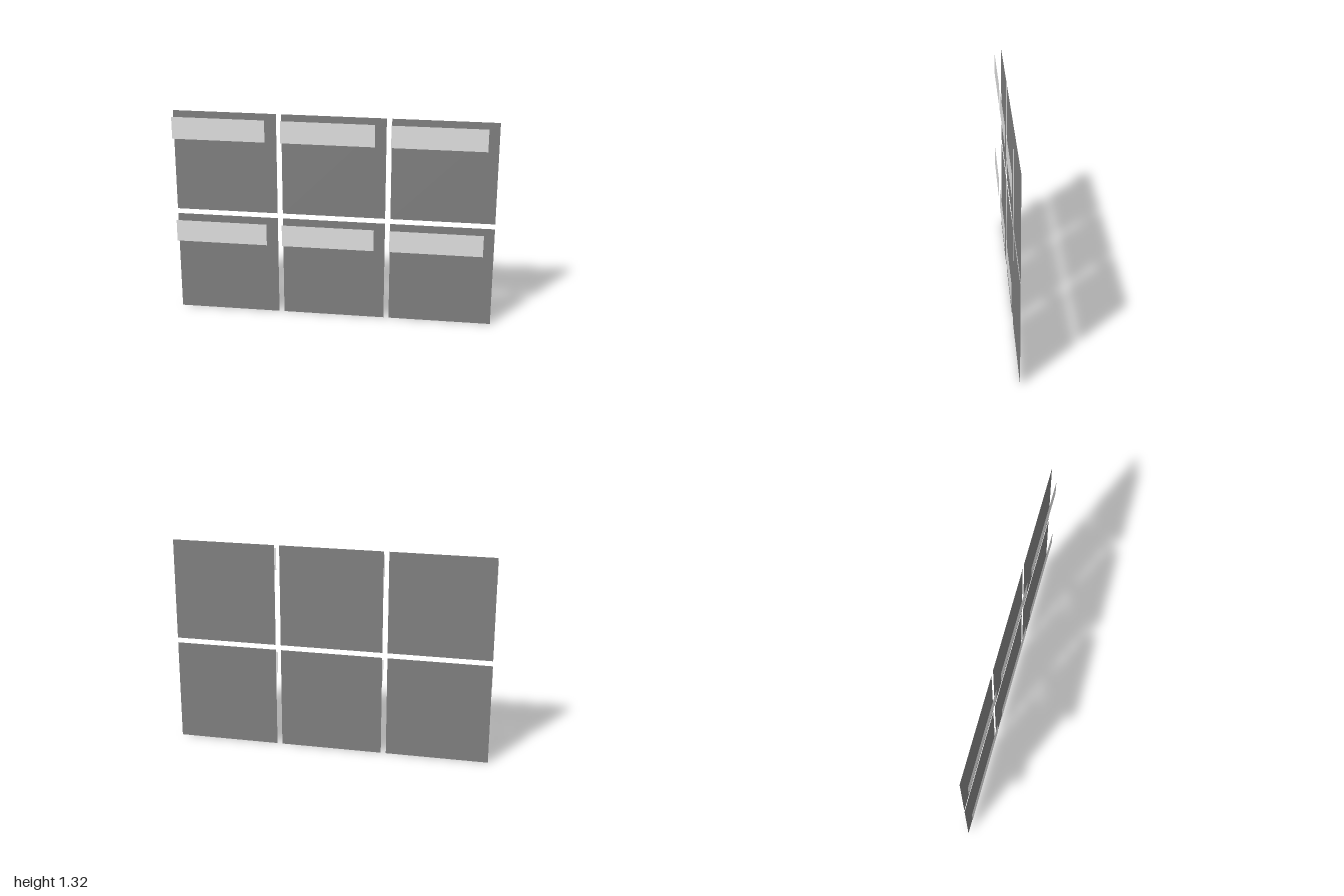
import * as THREE from 'three';

const PANEL = 0.645;   // square panel side
const PITCH = 0.6775;  // panel side plus gap
const STRIP_W = 0.58, STRIP_H = 0.14;
const DEPTH = 0.045;   // distance from panel to strip

export function createModel() {
  const model = new THREE.Group();
  model.name = 'panelGrid';

  const darkGrey = new THREE.MeshStandardMaterial({ color: 0x808080, side: THREE.DoubleSide });
  darkGrey.name = 'darkGrey';
  const lightGrey = new THREE.MeshStandardMaterial({ color: 0xe2e2e2, side: THREE.DoubleSide });
  lightGrey.name = 'lightGrey';

  const panelGeometry = new THREE.PlaneGeometry(PANEL, PANEL);
  const stripGeometry = new THREE.PlaneGeometry(STRIP_W, STRIP_H);

  // Two rows of three tiles
  for (let row = 0; row < 2; row++) {
    for (let col = 0; col < 3; col++) {
      const tile = new THREE.Group();
      tile.name = `tile${row * 3 + col + 1}`;
      tile.position.set((col - 1) * PITCH, PANEL / 2 + row * PITCH, 0);

      // Flat square backing
      const panel = new THREE.Mesh(panelGeometry, darkGrey);
      panel.name = 'panel';
      panel.position.z = -DEPTH / 2;

      // Floating strip, flush with the panel's left edge in front view
      const strip = new THREE.Mesh(stripGeometry, lightGrey);
      strip.name = 'labelStrip';
      strip.position.set((STRIP_W - PANEL) / 2, 0.222, DEPTH / 2);

      tile.add(panel, strip);
      model.add(tile);
    }
  }
  return model;
}
